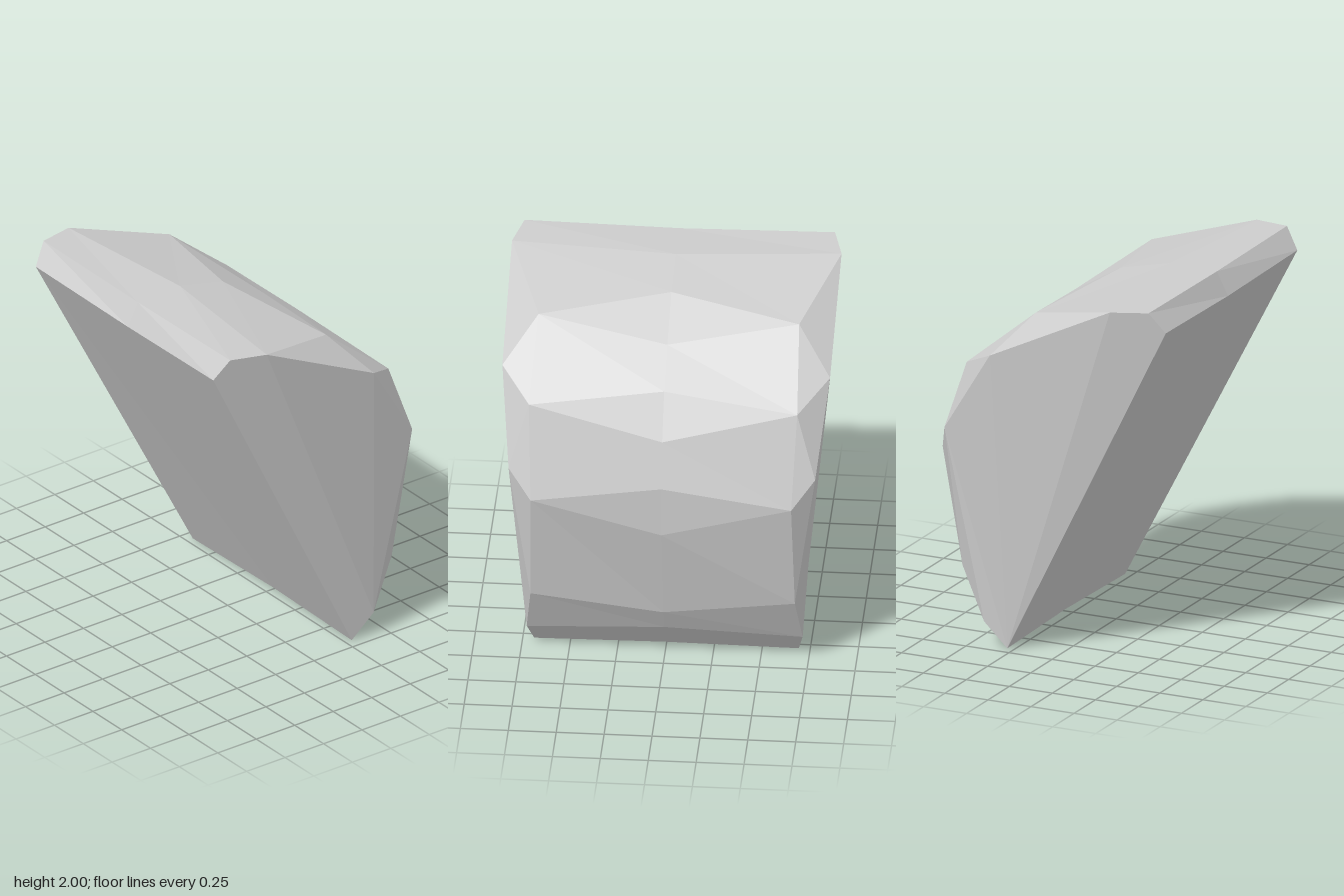
import * as THREE from 'three';

// Half of a faceted wedge cushion; the other half is mirrored across x = 0.
const points = {
  // centre line: front top edge, over the back, down to the front bottom edge
  c0: [0, 1.865, 0.65], c1: [0, 1.99, 0.585], c2: [0, 1.995, 0.31], c3: [0, 1.93, 0.03],
  c4: [0, 1.77, -0.24], c5: [0, 1.61, -0.45], c6: [0, 1.38, -0.58], c7: [0, 1.14, -0.655],
  c8: [0, 0.86, -0.65], c9: [0, 0.32, -0.52], c10: [0, 0.19, -0.45], c11: [0, 0.01, -0.295],
  // shoulder line, in the same direction
  s0: [0.77, 1.89, 0.67], s1: [0.81, 2, 0.59], s2: [0.86, 1.99, 0.39], s3: [0.68, 1.86, -0.13],
  s4: [0.70, 1.54, -0.52], s5: [0.68, 1.05, -0.67], s6: [0.69, 0.42, -0.55],
  s7: [0.72, 0.14, -0.41], s8: [0.69, 0, -0.29],
  // outer corners of the side panel
  o3: [0.855, 1.65, -0.31], o4: [0.80, 1.2, -0.60],
};

const parts = {
  frontPanel: ['c11 c0 s0 s8'],
  topEdge: ['c0 c1 s1 s0'],
  curvedBack: [
    'c1 c2 s2 s1', 'c2 c3 s3 s2', 'c3 c4 s3', 'c4 c5 s4 s3', 'c5 c6 s4', 'c6 c7 s5 s4',
    'c7 c8 s5', 'c8 c9 s6 s5', 'c9 c10 s7 s6', 'c10 c11 s8 s7',
  ],
  sideBevels: ['s2 s3 o3', 's3 s4 o3', 's4 o4 o3', 's4 s5 o4', 's5 s6 o4', 's6 s7 o4'],
  sidePanels: ['s8 s0 s1 s2 o3 o4 s7'],
};

// Fan each polygon into triangles on both sides, keeping the normals outward.
function mirroredGeometry(polygons) {
  const positions = [];
  for (const side of [1, -1]) {
    for (const polygon of polygons) {
      const corners = polygon.split(' ').map((key) => {
        const [x, y, z] = points[key];
        return [x * side, y, z];
      });
      if (side === 1) corners.reverse();
      for (let i = 1; i < corners.length - 1; i++) {
        positions.push(...corners[0], ...corners[i], ...corners[i + 1]);
      }
    }
  }
  const geometry = new THREE.BufferGeometry();
  geometry.setAttribute('position', new THREE.Float32BufferAttribute(positions, 3));
  geometry.computeVertexNormals();
  return geometry;
}

export function createModel() {
  const group = new THREE.Group();
  group.name = 'wedgeCushion';
  const material = new THREE.MeshStandardMaterial({ color: 0xcccccc });
  material.name = 'light grey';
  for (const [name, polygons] of Object.entries(parts)) {
    const mesh = new THREE.Mesh(mirroredGeometry(polygons), material);
    mesh.name = name;
    group.add(mesh);
  }
  return group;
}
